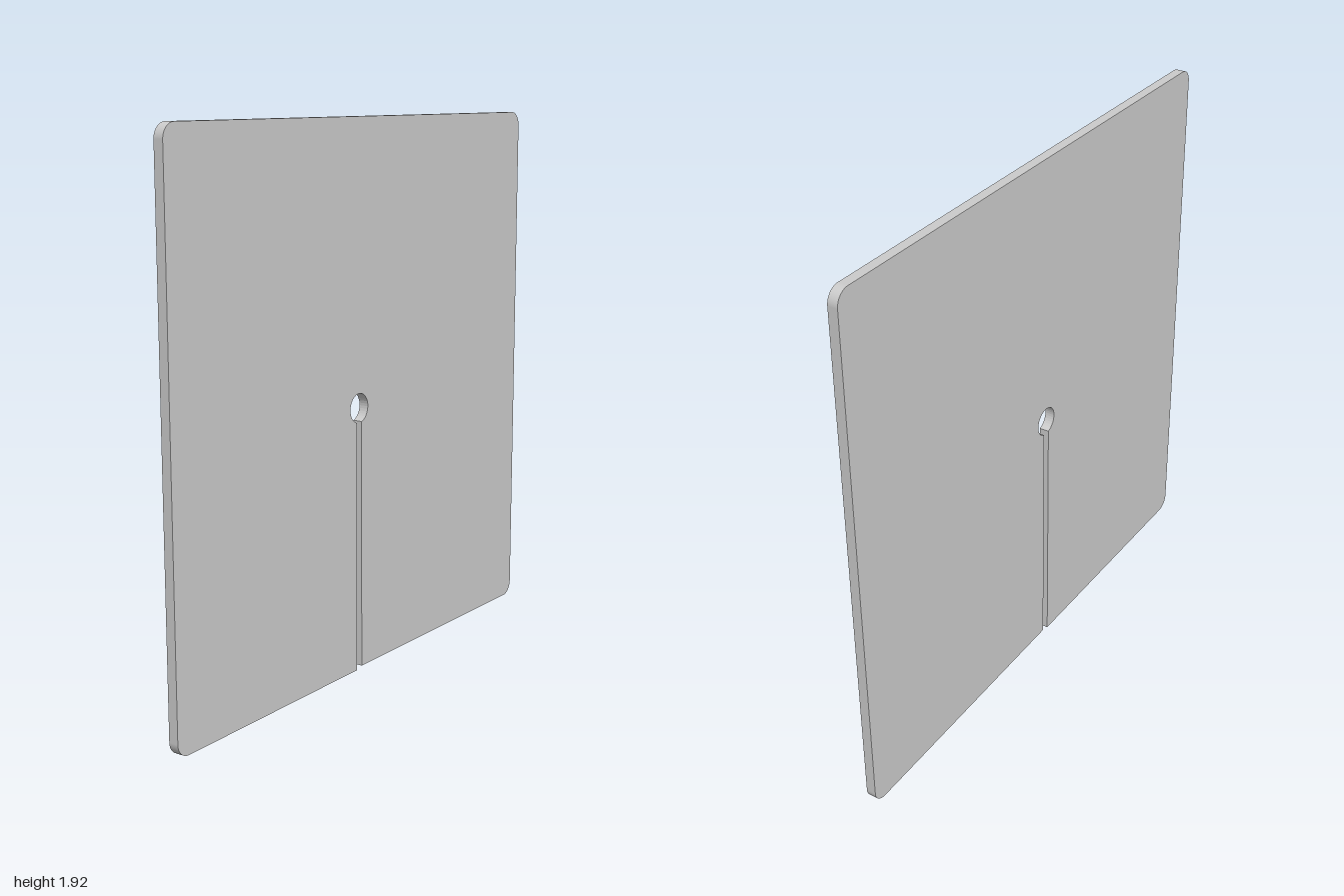
import * as THREE from 'three';

export function createModel() {
  const group = new THREE.Group();
  const H = 1.92, R = 0.05, T = 0.035;
  const slotL = -0.066, slotR = -0.037;
  const hole = { x: (slotL + slotR) / 2, y: 0.94, r: 0.051 };
  const half = Math.asin((slotR - slotL) / 2 / hole.r);
  const down = -Math.PI / 2;

  // Rounded panel outline, split from below by a slot ending in a round hole
  const s = new THREE.Shape();
  s.moveTo(slotR, 0.008);
  s.lineTo(1 - R, 0);
  s.absarc(1 - R, R, R, down, 0, false);
  s.absarc(1 - R, H - R, R, 0, Math.PI / 2, false);
  s.absarc(-1 + R, H - R, R, Math.PI / 2, Math.PI, false);
  s.absarc(-1 + R, R + 0.005, R, Math.PI, Math.PI * 1.5, false);
  s.lineTo(slotL, 0);
  s.absarc(hole.x, hole.y, hole.r, down - half, down + half - Math.PI * 2, true);
  s.closePath();

  const geometry = new THREE.ExtrudeGeometry(s, { depth: T, bevelEnabled: false, curveSegments: 16 });
  geometry.translate(0, 0, -T / 2);
  const panel = new THREE.Mesh(geometry, new THREE.MeshStandardMaterial({ color: 0xcccccc }));
  panel.name = 'slottedPanel';
  group.add(panel);
  return group;
}
